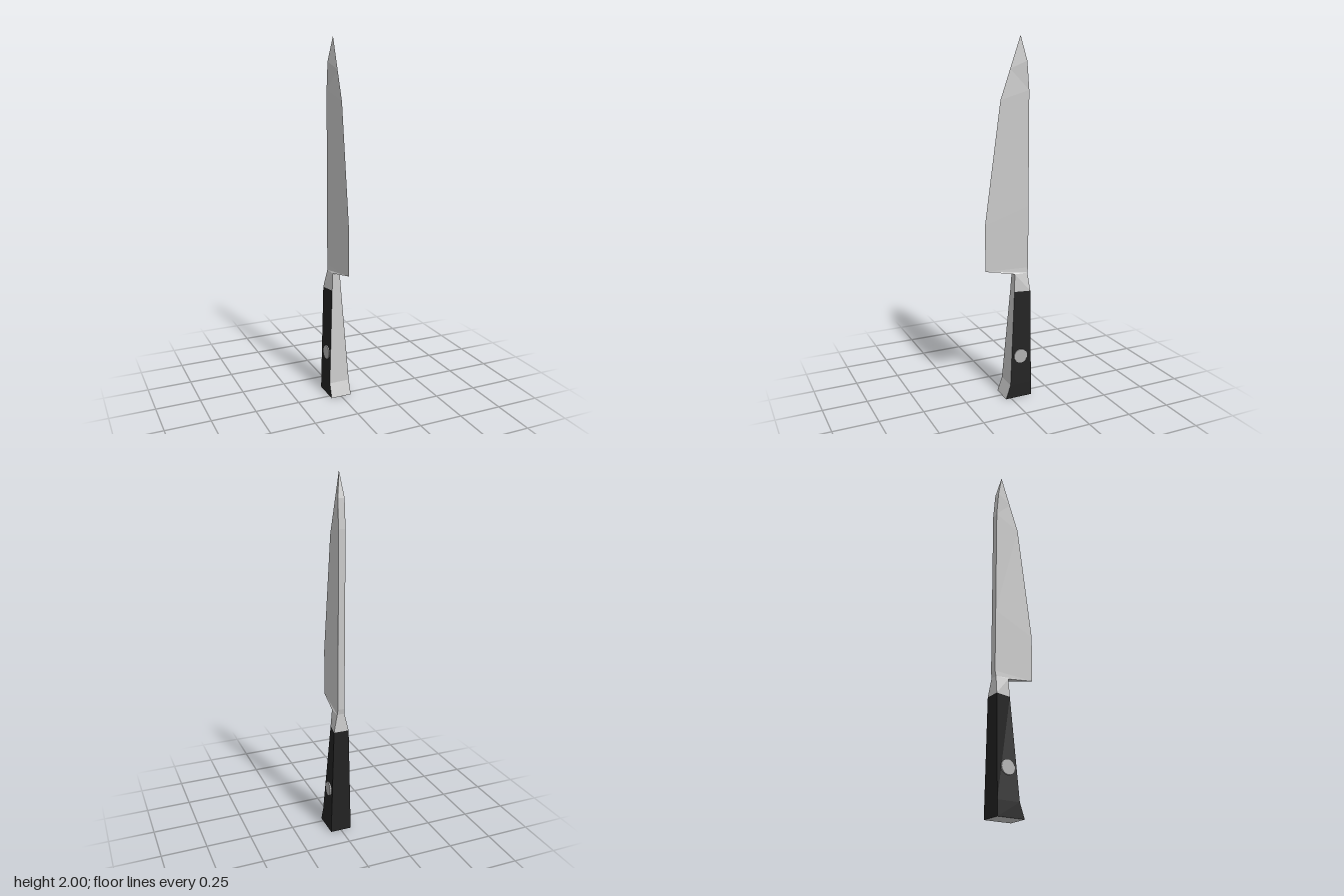
import * as THREE from 'three';

const steel = new THREE.MeshStandardMaterial({ name: 'steel', color: 0xc9c9c9, flatShading: true });
const black = new THREE.MeshStandardMaterial({ name: 'blackGrip', color: 0x222222, flatShading: true });
const rivetSteel = new THREE.MeshStandardMaterial({ name: 'rivetSteel', color: 0xaeaeae, flatShading: true });

// Rows: [frontY, frontZ, frontHalfWidth, backY, backZ, backHalfWidth]
const base = [0, 0.03, 0.06, 0, -0.127, 0.06];
const flare = [0.08, 0.002, 0.059, 0.08, -0.127, 0.058];
const gripTop = [0.62, -0.036, 0.027, 0.62, -0.126, 0.043];
const neck = [0.72, -0.041, 0.021, 0.72, -0.118, 0.021];
const heel = [0.75, 0.127, 0, 0.75, -0.123, 0.019];
const FRONT = 0, RIGHT = 1, BACK = 2, LEFT = 3;

// Lofts four-cornered sections, keeping only the chosen sides
function loft(name, material, rows, sides, capBottom = false) {
  const rings = rows.map(([fy, fz, fx, by, bz, bx]) => [
    new THREE.Vector3(fx, fy, fz), new THREE.Vector3(-fx, fy, fz),
    new THREE.Vector3(-bx, by, bz), new THREE.Vector3(bx, by, bz)]);
  const points = [];
  const tri = (a, b, c) => {
    if (new THREE.Triangle(a, b, c).getArea() > 1e-7) points.push(a, b, c);
  };
  for (let r = 0; r < rings.length - 1; r++) {
    for (const s of sides) {
      const e = (s + 1) % 4, lo = rings[r], hi = rings[r + 1];
      if (s === LEFT) { // mirrored diagonal keeps both sides alike
        tri(lo[e], lo[s], hi[e]);
        tri(lo[s], hi[s], hi[e]);
      } else {
        tri(lo[e], lo[s], hi[s]);
        tri(lo[e], hi[s], hi[e]);
      }
    }
  }
  if (capBottom) {
    const q = rings[0];
    tri(q[0], q[1], q[2]);
    tri(q[0], q[2], q[3]);
  }
  const geometry = new THREE.BufferGeometry().setFromPoints(points);
  geometry.computeVertexNormals();
  const mesh = new THREE.Mesh(geometry, material);
  mesh.name = name;
  return mesh;
}

export function createModel() {
  const knife = new THREE.Group();
  knife.name = 'knife';

  // Handle: black sides and back, steel front strip and butt
  knife.add(loft('grip', black, [base, flare, gripTop], [RIGHT, BACK, LEFT]));
  knife.add(loft('tang', steel, [base, flare, gripTop], [FRONT], true));

  // Bolster flows into the heel of the blade
  knife.add(loft('bolster', steel, [gripTop, neck, heel], [FRONT, RIGHT, BACK, LEFT]));

  // Wedge-shaped blade: sharp front edge, flat spine
  knife.add(loft('blade', steel, [
    heel,
    [1.01, 0.127, 0, 1.1, -0.123, 0.019],
    [1.67, 0.035, 0, 1.72, -0.123, 0.019],
    [1.83, -0.021, 0, 1.87, -0.111, 0.018],
    [2, -0.08, 0, 2, -0.08, 0],
  ], [RIGHT, BACK, LEFT]));

  // Rivet heads, lying along the tapered sides
  for (const side of [-1, 1]) {
    const rivet = new THREE.Mesh(new THREE.CylinderGeometry(0.04, 0.04, 0.008, 16), rivetSteel);
    rivet.name = side > 0 ? 'leftRivet' : 'rightRivet';
    rivet.position.set(side * 0.0515, 0.245, -0.063);
    rivet.quaternion.setFromUnitVectors(
      new THREE.Vector3(0, 1, 0), new THREE.Vector3(side, 0.045, 0.03).normalize());
    knife.add(rivet);
  }
  return knife;
}
